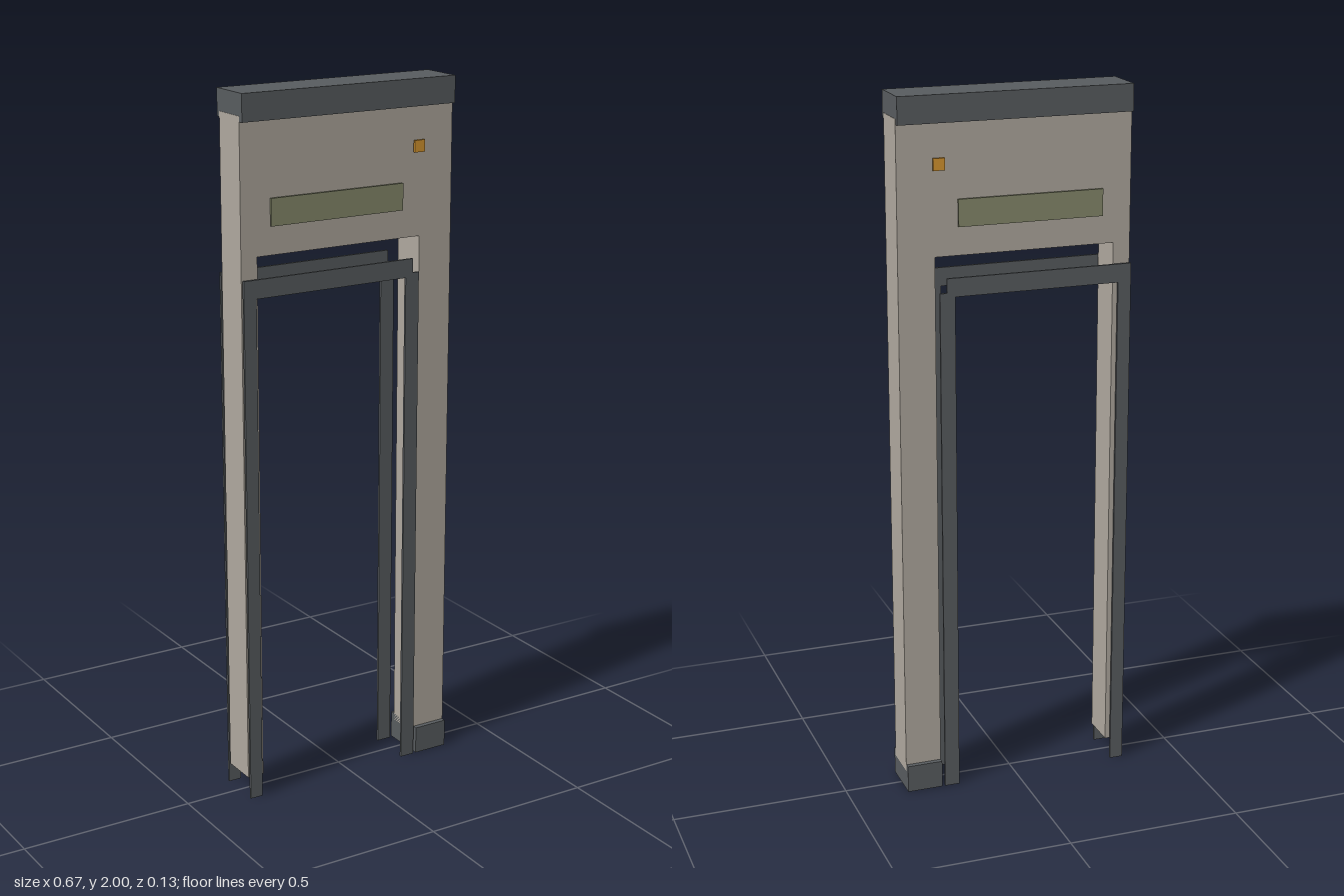
import * as THREE from 'three';

const paint = (color) => new THREE.MeshStandardMaterial({ color });

// Extrudes an x/y outline between two depths
function slab(name, points, z0, z1, material) {
  const shape = new THREE.Shape(points.map(([x, y]) => new THREE.Vector2(x, y)));
  const geometry = new THREE.ExtrudeGeometry(shape, { depth: z1 - z0, bevelEnabled: false });
  geometry.translate(0, 0, z0);
  const mesh = new THREE.Mesh(geometry, material);
  mesh.name = name;
  return mesh;
}

// Box given by its extents
function block(name, [x0, x1], [y0, y1], [z0, z1], material) {
  const mesh = new THREE.Mesh(new THREE.BoxGeometry(x1 - x0, y1 - y0, z1 - z0), material);
  mesh.position.set((x0 + x1) / 2, (y0 + y1) / 2, (z0 + z1) / 2);
  mesh.name = name;
  return mesh;
}

export function createModel() {
  const model = new THREE.Group();
  model.name = 'doorway';

  const dark = paint(0x585c5f);
  const plaster = paint(0xafa89e);
  const olive = paint(0x868a6c);
  const amber = paint(0xd6962f);

  const half = 0.333;
  const depth = 0.067;

  // Wall with an off-centre door opening
  model.add(slab('wall', [
    [-half, 0.06], [-0.284, 0.06], [-0.284, 1.565], [0.229, 1.565],
    [0.229, 0.06], [half, 0.06], [half, 1.94], [-half, 1.94],
  ], -0.053, 0.053, plaster));

  // Cornice on top and plinth under the wide jamb
  model.add(block('cornice', [-0.332, 0.332], [1.925, 2], [-depth, depth], dark));
  model.add(block('plinth', [0.229, 0.332], [0, 0.08], [-depth, depth], dark));

  // Door trim, sign and lamp, repeated on both faces
  for (const side of [1, -1]) {
    const face = side > 0 ? 'front' : 'back';
    const z = side > 0 ? [0.06, depth] : [-depth, -0.06];

    model.add(slab(face + 'DoorTrim', [
      [-half, 0], [-0.295, 0], [-0.295, 1.455], [0.177, 1.455], [0.177, 0],
      [0.22, 0], [0.22, 1.467], [0.2, 1.467], [0.2, 1.507], [-half, 1.507],
    ], z[0], z[1], dark));
    model.add(block(face + 'Sign', [-0.247, 0.166], [1.645, 1.72], z, olive));
    model.add(block(face + 'Lamp', [0.203, 0.235], [1.8, 1.833], z, amber));
  }
  return model;
}
